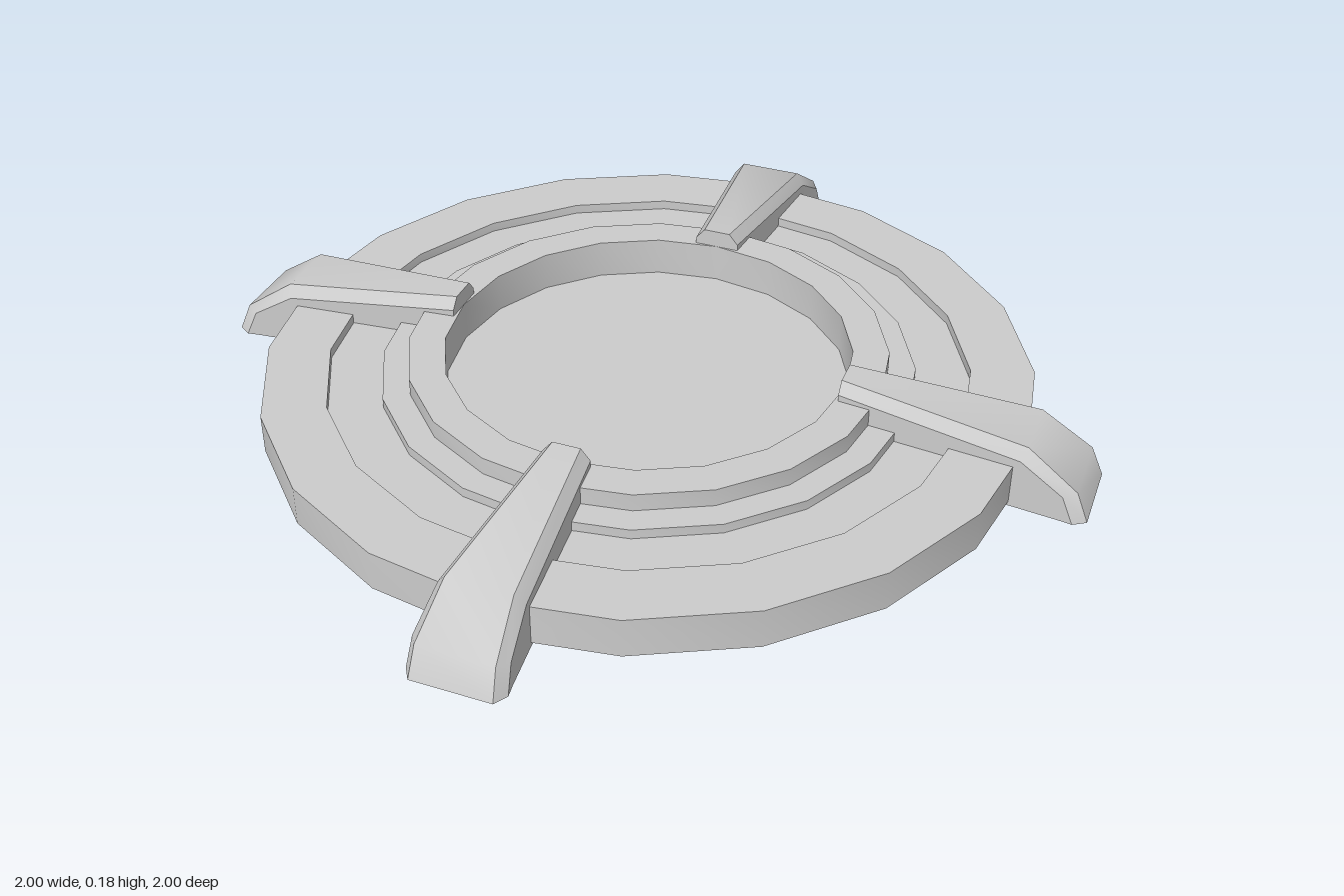
import * as THREE from 'three';
import { toCreasedNormals } from 'three/addons/utils/BufferGeometryUtils.js';

const CREASE = 0.62;
const material = new THREE.MeshStandardMaterial({ color: 0xcccccc, side: THREE.DoubleSide });

// Stepped shell, open underneath: outer rim, groove, raised lip, sunken floor
function createBase() {
  const profile = [
    [0.85, 0.01], [0.85, 0.1], [0.71, 0.1], [0.71, 0.078], [0.59, 0.078], [0.59, 0.1],
    [0.53, 0.1], [0.53, 0.14], [0.45, 0.14], [0.45, 0.05], [0, 0.05],
  ].map(([r, y]) => new THREE.Vector2(r, y));
  const base = new THREE.Mesh(toCreasedNormals(new THREE.LatheGeometry(profile, 20), CREASE), material);
  base.name = 'steppedBase';
  return base;
}

// Bevelled arm along +z, open underneath, lofted through cross-sections
function createArmGeometry() {
  // side edge (z, y, half width), then top edge (z, y, half width)
  const stations = [
    [0.45, 0.155, 0.052, 0.45, 0.18, 0.031],
    [0.85, 0.118, 0.091, 0.86, 0.143, 0.071],
    [0.945, 0.06, 0.101, 0.972, 0.066, 0.083],
    [0.972, 0, 0.105, 1, 0, 0.087],
  ];
  const sections = stations.map(([sz, sy, sw, tz, ty, tw]) => [
    [-sw, 0, sz], [-sw, sy, sz], [-tw, ty, tz],
    [tw, ty, tz], [sw, sy, sz], [sw, 0, sz],
  ]);
  const positions = [];
  const triangle = (a, b, c) => positions.push(...a, ...b, ...c);

  // Skin between neighbouring sections
  for (let s = 0; s < sections.length - 1; s++) {
    const a = sections[s], b = sections[s + 1];
    for (let i = 0; i < 5; i++) {
      triangle(a[i], b[i], b[i + 1]);
      triangle(a[i], b[i + 1], a[i + 1]);
    }
  }
  // Inner end cap
  for (let i = 1; i < 5; i++) triangle(sections[0][0], sections[0][i], sections[0][i + 1]);

  const geometry = new THREE.BufferGeometry();
  geometry.setAttribute('position', new THREE.Float32BufferAttribute(positions, 3));
  return toCreasedNormals(geometry, CREASE);
}

export function createModel() {
  const model = new THREE.Group();
  model.name = 'steppedDiscWithArms';
  model.add(createBase());

  // Four arms straddling the rim
  const armGeometry = createArmGeometry();
  ['frontArm', 'leftArm', 'backArm', 'rightArm'].forEach((name, i) => {
    const arm = new THREE.Mesh(armGeometry, material);
    arm.name = name;
    arm.rotation.y = (i * Math.PI) / 2;
    model.add(arm);
  });
  return model;
}
